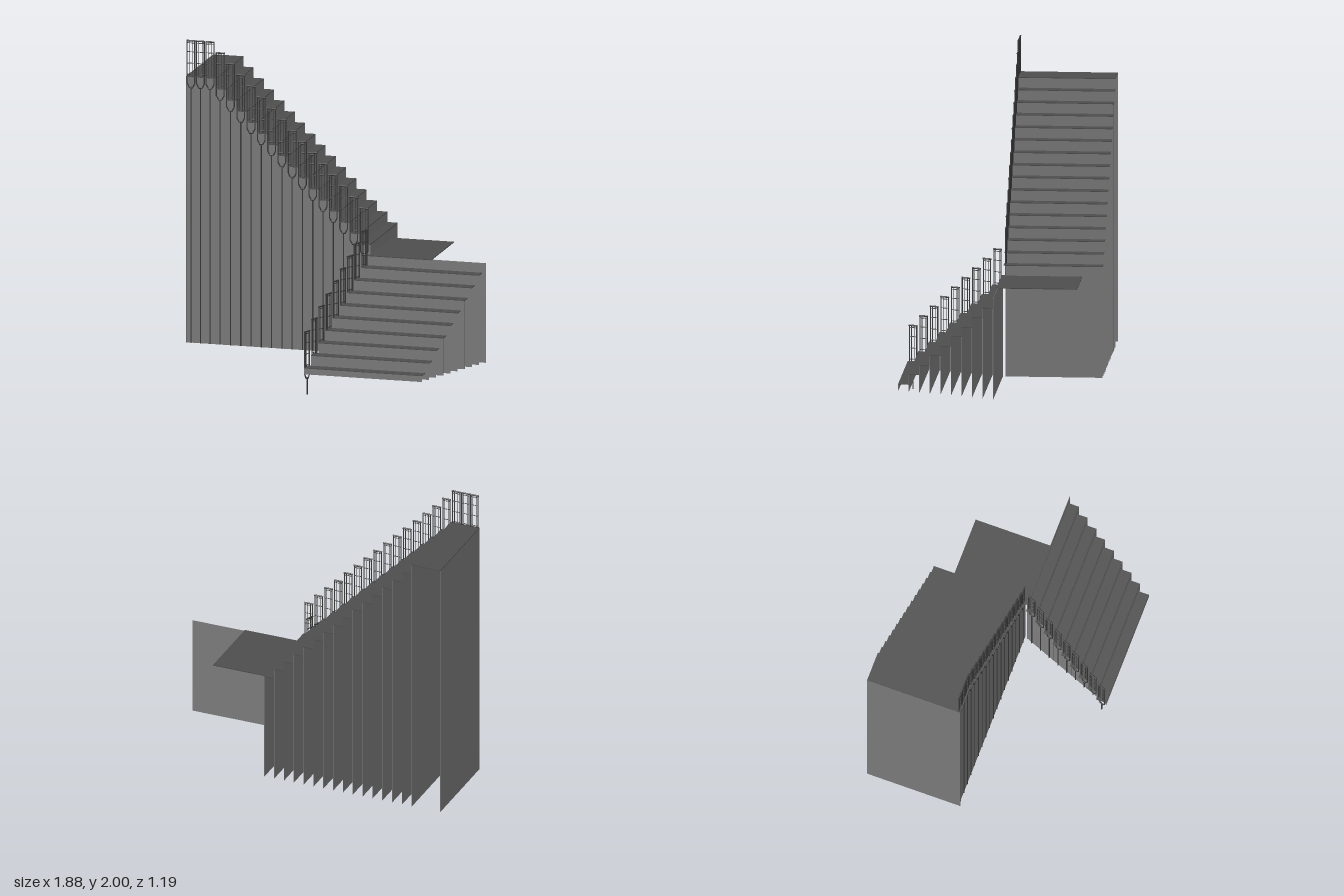
import * as THREE from 'three';

const paint = (color) => new THREE.MeshStandardMaterial({ color, side: THREE.DoubleSide });
const panelGrey = paint(0x808080), treadGrey = paint(0x4e4e4e), railGrey = paint(0x404040);
const FLOOR = 0.13, RISE = 0.0642, THIN = 0.004;

// Box given by its minimum and maximum corners
function slab(parent, name, material, [x0, y0, z0], [x1, y1, z1]) {
  const mesh = new THREE.Mesh(new THREE.BoxGeometry(x1 - x0, y1 - y0, z1 - z0), material);
  mesh.position.set((x0 + x1) / 2, (y0 + y1) / 2, (z0 + z1) / 2);
  mesh.name = name;
  parent.add(mesh);
  return mesh;
}

// Round bar between two points of the railing plane
function bar(parent, name, x0, y0, x1, y1, r = 0.0035) {
  const dx = x1 - x0, dy = y1 - y0;
  const mesh = new THREE.Mesh(new THREE.CylinderGeometry(r, r, Math.hypot(dx, dy), 8), railGrey);
  mesh.position.set((x0 + x1) / 2, (y0 + y1) / 2, 0);
  mesh.rotation.z = Math.atan2(-dx, dy);
  mesh.name = name;
  parent.add(mesh);
}

// One railing unit: posts with cross bars, forking into a single pole below the tread
function railUnit(parent, x, y, z, turn, poleBottom) {
  const unit = new THREE.Group();
  unit.name = 'railingUnit';
  const w = 0.024;
  for (const s of [-1, 1]) {
    bar(unit, 'post', s * w, -0.045, s * w, 0.216);
    bar(unit, 'innerPost', s * 0.011, 0, s * 0.011, 0.216, 0.002);
    bar(unit, 'fork', s * w, -0.045, s * 0.01, -0.07, 0.004);
  }
  for (const h of [0.012, 0.08, 0.15, 0.205]) bar(unit, 'crossBar', -w, h, w, h, 0.0025);
  bar(unit, 'handrail', -0.028, 0.218, 0.028, 0.218, 0.005);
  bar(unit, 'collar', -0.012, -0.07, 0.012, -0.07, 0.005);
  if (poleBottom < y - 0.07) bar(unit, 'pole', 0, -0.07, 0, poleBottom - y);
  unit.position.set(x, y, z);
  unit.rotation.y = turn;
  parent.add(unit);
}

// Lower flight: climbs towards the back, each step shifted sideways
function lowerFlight() {
  const flight = new THREE.Group();
  flight.name = 'lowerFlight';
  const going = 0.0655, shift = 0.0257, width = 0.735;
  const turn = Math.atan2(going, shift), length = Math.hypot(going, shift);
  for (let i = 0; i < 10; i++) {
    const x = -0.03 + shift * i, z = 0.595 - going * i, y = 0.17 + RISE * i;
    slab(flight, 'riser', panelGrey, [x, FLOOR, z - 0.002], [x + width, y - THIN, z]);
    if (i === 9) break;
    slab(flight, 'tread', treadGrey, [x, y - THIN, z - going], [x + width, y, z]);
    const panel = slab(flight, 'sidePanel', panelGrey, [0, FLOOR, -0.0015], [length, y - THIN, 0.0015]);
    panel.position.x = x + shift / 2 + 0.003;
    panel.position.z = z - going / 2;
    panel.rotation.y = turn;
    railUnit(flight, x + 0.01, y, z - going / 2, turn, i ? FLOOR : 0);
  }
  return flight;
}

// Upper flight: climbs to the side from the landing and ends in a wide top step
function upperFlight() {
  const flight = new THREE.Group();
  flight.name = 'upperFlight';
  const going = 0.0642, back = -0.597, end = -0.94, start = 0.21, base = 0.81;
  const top = base + RISE * 15;

  // Stepped side panel in one piece
  const outline = new THREE.Shape();
  outline.moveTo(end, FLOOR);
  outline.lineTo(start, FLOOR);
  for (let i = 0; i < 16; i++) {
    const x = start - going * i, y = base + RISE * i;
    const next = i === 15 ? end : x - going;
    outline.lineTo(x, y - THIN);
    outline.lineTo(next, y - THIN);
    slab(flight, 'riser', panelGrey, [x - 0.002, FLOOR, back], [x, y - THIN, -0.015]);
    slab(flight, 'tread', treadGrey, [next, y - THIN, back], [x, y, 0]);
  }
  const panel = new THREE.Mesh(
    new THREE.ExtrudeGeometry(outline, { depth: 0.003, bevelEnabled: false }), panelGrey);
  panel.position.z = -0.015;
  panel.name = 'sidePanel';
  flight.add(panel);

  slab(flight, 'endPanel', panelGrey, [end, FLOOR, back], [end + 0.002, top - THIN, 0]);
  for (let i = 0; i < 15; i++) railUnit(flight, 0.17 - going * i, base + RISE * i, -0.011, 0, FLOOR);
  for (const x of [-0.792, -0.852, -0.911]) railUnit(flight, x, top, -0.011, 0, FLOOR);
  return flight;
}

export function createModel() {
  const model = new THREE.Group();
  model.name = 'staircase';
  model.add(lowerFlight(), upperFlight());
  slab(model, 'landing', treadGrey, [0.195, 0.741, -0.473], [0.597, 0.746, 0.012]);
  return model;
}
